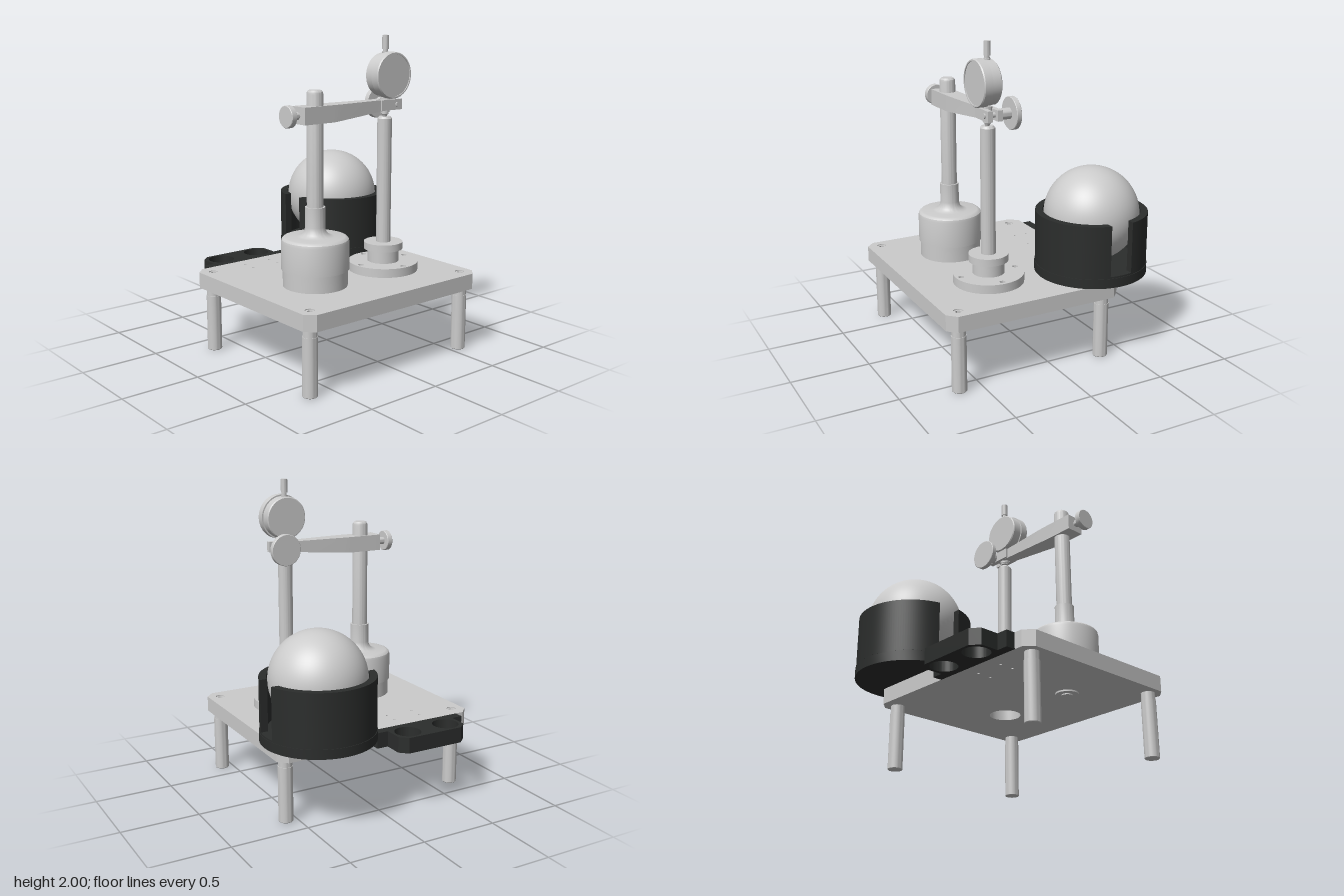
import * as THREE from 'three';
import { toCreasedNormals } from 'three/addons/utils/BufferGeometryUtils.js';

const grey = new THREE.MeshStandardMaterial({ color: 0xcccccc });
const dark = new THREE.MeshStandardMaterial({ color: 0x2b2d2c });
const CREASE = 0.5;

export function createModel() {
  const root = new THREE.Group();

  function add(name, geo, mat = grey, x = 0, y = 0, z = 0) {
    const mesh = new THREE.Mesh(geo, mat);
    mesh.name = name;
    mesh.position.set(x, y, z);
    root.add(mesh);
    return mesh;
  }
  // Turned part: [radius, height] pairs from bottom to top
  const turned = (pts, seg = 48) => toCreasedNormals(
    new THREE.LatheGeometry(pts.map(p => new THREE.Vector2(...p)), seg), CREASE);
  // Flat part: outline in (x, -z), raised from y0 to y1
  const slab = (shape, y0, y1) => toCreasedNormals(
    new THREE.ExtrudeGeometry(shape, { depth: y1 - y0, bevelEnabled: false, curveSegments: 32 })
      .rotateX(-Math.PI / 2).translate(0, y0, 0), CREASE);
  const outline = pts => new THREE.Shape(pts.map(([x, z]) => new THREE.Vector2(x, -z)));
  const disc = r => new THREE.Shape().absarc(0, 0, r, 0, Math.PI * 2);
  const hole = (shape, x, z, r) =>
    shape.holes.push(new THREE.Path().absarc(x, -z, r, 0, Math.PI * 2, true));

  // Base plate with cut corners
  const X0 = -0.73, X1 = 0.647, Z0 = -0.44, Z1 = 0.735, c = 0.055;
  const plate = outline([
    [X0 + c, Z1], [X1 - c, Z1], [X1, Z1 - c], [X1, Z0 + c],
    [X1 - c, Z0], [X0 + c, Z0], [X0, Z0 + c], [X0, Z1 - c]]);
  const corners = [[-0.653, 0.645], [0.57, 0.645], [-0.653, -0.343], [0.57, -0.343]];
  for (const [x, z] of corners) hole(plate, x, z, 0.029);
  for (const x of [-0.4, -0.21]) for (const z of [-0.345, -0.254]) hole(plate, x, z, 0.008);
  hole(plate, 0.24, 0.28, 0.1);
  add('basePlate', slab(plate, 0.412, 0.512));

  // Legs, each with a socket screw set in the plate
  const socket = disc(0.0285);
  socket.holes.push(new THREE.Path(Array.from({ length: 6 }, (_, i) =>
    new THREE.Vector2(0.018 * Math.cos(-i * Math.PI / 3), 0.018 * Math.sin(-i * Math.PI / 3)))));
  const socketGeo = slab(socket, 0.47, 0.506);
  const legGeo = turned([[0, 0], [0.043, 0], [0.046, 0.004], [0.046, 0.36],
    [0.043, 0.36], [0.043, 0.413], [0.026, 0.413], [0.026, 0.475], [0, 0.475]], 32);
  for (const [x, z] of corners) {
    add('leg', legGeo, grey, x, 0, z);
    add('legScrew', socketGeo, grey, x, 0, z);
  }

  // Rear bracket with two round openings
  const bracket = outline([
    [-0.62, -0.44], [0.015, -0.44], [0.015, -0.5], [-0.06, -0.5], [-0.06, -0.617],
    [-0.11, -0.665], [-0.495, -0.665], [-0.547, -0.617], [-0.547, -0.5], [-0.62, -0.5]]);
  for (const x of [-0.445, -0.163]) hole(bracket, x, -0.565, 0.083);
  add('rearBracket', slab(bracket, 0.412, 0.512), dark);

  // Cup with a slot on each side, and the ball in it
  const CX = 0.365, CZ = -0.387, R = 0.354, r = 0.308, half = 0.075;
  add('cupBase', turned([[0, 0.514], [0.358, 0.514], [0.358, 0.574], [R, 0.574],
    [R, 0.585], [0, 0.585]], 64), dark, CX, 0, CZ);
  const a = Math.asin(half / R), b = Math.asin(half / r);
  const wall = new THREE.Shape();
  wall.absarc(0, 0, R, a, Math.PI - a);
  wall.absarc(0, 0, r, Math.PI - b, b, true);
  const wallGeo = slab(wall, 0.58, 0.91);
  for (const turn of [0, Math.PI]) add('cupWall', wallGeo, dark, CX, 0, CZ).rotation.y = turn;
  add('ball', new THREE.SphereGeometry(0.302, 64, 40), grey, CX, 0.887, CZ);

  // Stand: weighted foot, neck and post
  const SX = -0.32, SZ = 0.28;
  add('standFoot', turned([
    [0, 0.51], [0.198, 0.51], [0.198, 0.615], [0.207, 0.615], [0.207, 0.785], [0.203, 0.801],
    [0.193, 0.811], [0.18, 0.815], [0.115, 0.815], [0.094, 0.82], [0.076, 0.833],
    [0.065, 0.852], [0.061, 0.875], [0.061, 0.997], [0.05, 0.997]], 64), grey, SX, 0, SZ);
  add('standPost', turned([[0.05, 0.99], [0.05, 1.672], [0.047, 1.685], [0.038, 1.695], [0, 1.695]]),
    grey, SX, 0, SZ);
  add('footScrew', turned([[0, 0.395], [0.035, 0.395], [0.035, 0.402], [0.073, 0.402],
    [0.073, 0.412]], 32), grey, SX, 0, SZ);

  // Tapering arm: [x, bottom, half depth] stations, level on top
  const stations = [[-0.44, 1.502, 0.06], [-0.22, 1.502, 0.06], [-0.17, 1.506, 0.059],
    [0.12, 1.53, 0.04], [0.2, 1.537, 0.036]];
  const arm = new THREE.BoxGeometry(1, 1, 1, stations.length - 1, 1, 1);
  const p = arm.attributes.position;
  for (let i = 0; i < p.count; i++) {
    const [x, bottom, depth] = stations[Math.round((p.getX(i) + 0.5) * (stations.length - 1))];
    p.setXYZ(i, x, p.getY(i) > 0 ? 1.605 : bottom, SZ + Math.sign(p.getZ(i)) * depth);
  }
  add('arm', toCreasedNormals(arm, 0.2));

  // Forked clamp at the arm's end
  for (const s of [-1, 1])
    add('clampJaw', new THREE.BoxGeometry(0.17, 0.066, 0.032), grey, 0.257, 1.572, SZ + s * 0.033);
  add('clampBlock', turned([[0, 1.525], [0.03, 1.525], [0.03, 1.615], [0, 1.615]], 32),
    grey, 0.24, 0, SZ);

  // Clamp knob behind the arm, with its screw through the jaws
  add('clampKnob', turned([[0, 0], [0.097, 0], [0.1, 0.003], [0.1, 0.03], [0.097, 0.033],
    [0.034, 0.033], [0.034, 0.1], [0.016, 0.1], [0.016, 0.206], [0, 0.206]]),
    grey, 0.3, 1.572, 0.132).rotation.x = Math.PI / 2;

  // Locking knob at the arm's other end
  add('armKnob', turned([[0, 0], [0.063, 0], [0.066, 0.003], [0.066, 0.034], [0.063, 0.037],
    [0.024, 0.037], [0.024, 0.085], [0.014, 0.085], [0.014, 0.12]], 40),
    grey, -0.537, 1.553, SZ).rotation.z = -Math.PI / 2;

  // Column: bolted flange, collar and shaft
  const DX = 0.24, DZ = 0.28;
  const flange = disc(0.222);
  for (let i = 0; i < 4; i++)
    hole(flange, 0.188 * Math.cos(i * Math.PI / 2), 0.188 * Math.sin(i * Math.PI / 2), 0.018);
  add('columnFlange', slab(flange, 0.512, 0.568), grey, DX, 0, DZ);
  add('columnCollar', turned([[0.1, 0.56], [0.1, 0.648], [0.124, 0.648], [0.124, 0.694],
    [0.046, 0.694]]), grey, DX, 0, DZ);
  add('columnShaft', turned([[0.046, 0.69], [0.046, 1.485], [0.036, 1.498], [0, 1.498]]),
    grey, DX, 0, DZ);

  // Dial gauge: case, bezel and spindle
  add('dialCase', turned([[0, 0], [0.128, 0], [0.134, 0.006], [0.134, 0.065], [0.143, 0.065],
    [0.143, 0.114], [0.138, 0.121], [0.13, 0.121], [0.13, 0.115], [0, 0.115]], 64),
    grey, DX, 1.757, 0.246).rotation.x = Math.PI / 2;
  add('dialSpindle', turned([[0, 1.49], [0.012, 1.495], [0.018, 1.51], [0.025, 1.515],
    [0.025, 1.53], [0.02, 1.535], [0.02, 1.9], [0.016, 1.9], [0.016, 1.915], [0.021, 1.915],
    [0.021, 2], [0, 2]], 32), grey, DX, 0, DZ);

  return root;
}
